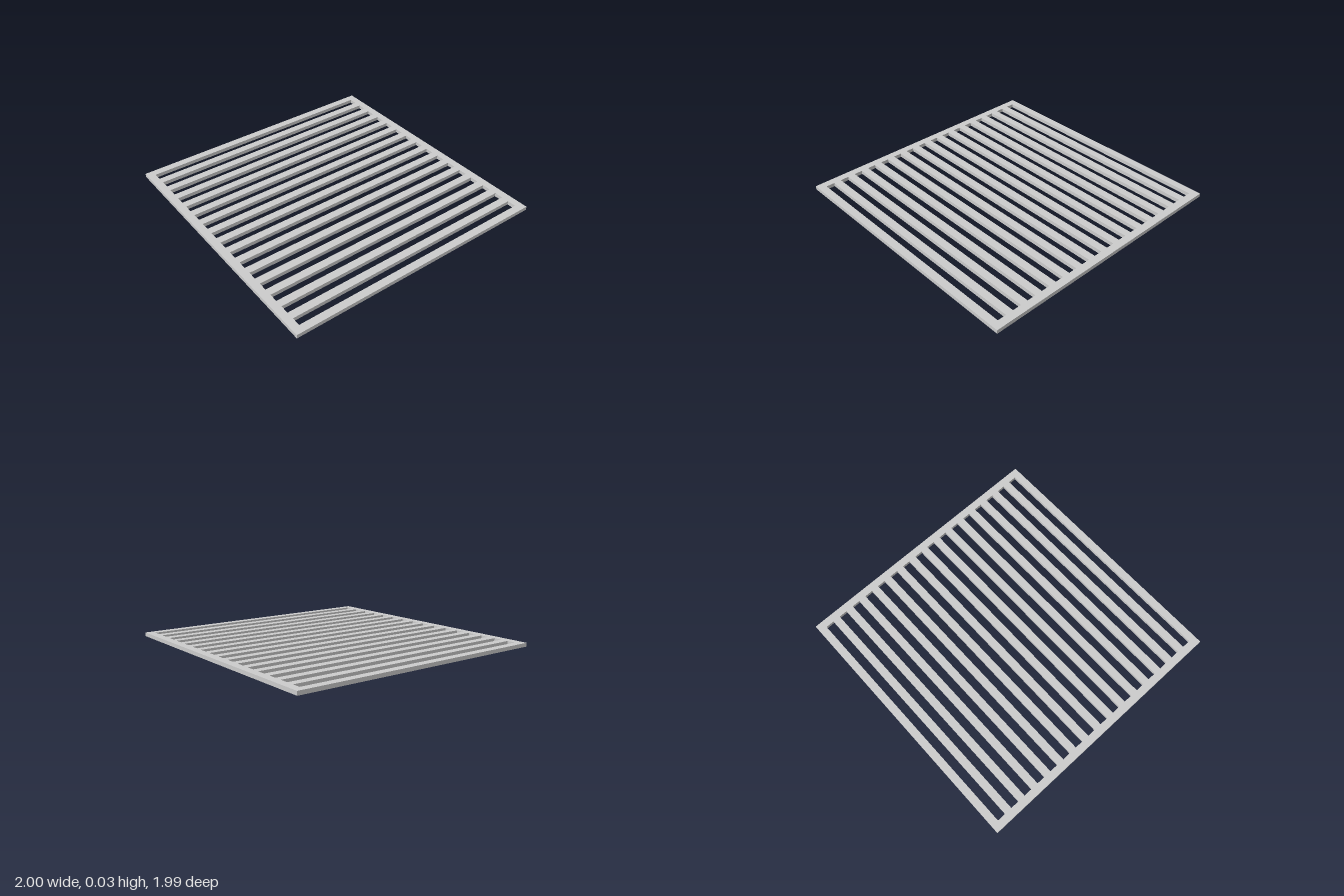
import * as THREE from 'three';

const WIDTH = 2, DEPTH = 1.99, THICKNESS = 0.028;
const BAR = 0.057, SLOTS = 16;

// Closed rectangle, added as an outline or a hole
function rectangle(path, x0, y0, x1, y1) {
  path.moveTo(x0, y0);
  path.lineTo(x1, y0);
  path.lineTo(x1, y1);
  path.lineTo(x0, y1);
  path.closePath();
  return path;
}

export function createModel() {
  const group = new THREE.Group();
  group.name = 'slottedGrate';

  // Flat plate with evenly spaced slots between equal bars
  const plate = rectangle(new THREE.Shape(), -WIDTH / 2, -DEPTH / 2, WIDTH / 2, DEPTH / 2);
  const pitch = (WIDTH - BAR) / SLOTS;
  const slotEnd = DEPTH / 2 - BAR;
  for (let i = 0; i < SLOTS; i++) {
    const left = -WIDTH / 2 + BAR + i * pitch;
    plate.holes.push(rectangle(new THREE.Path(), left, -slotEnd, left + pitch - BAR, slotEnd));
  }

  // Lay the plate flat on the ground
  const geometry = new THREE.ExtrudeGeometry(plate, { depth: THICKNESS, bevelEnabled: false });
  geometry.rotateX(-Math.PI / 2);

  const grate = new THREE.Mesh(geometry, new THREE.MeshStandardMaterial({ color: 0xcccccc }));
  grate.name = 'gratePlate';
  group.add(grate);
  return group;
}
